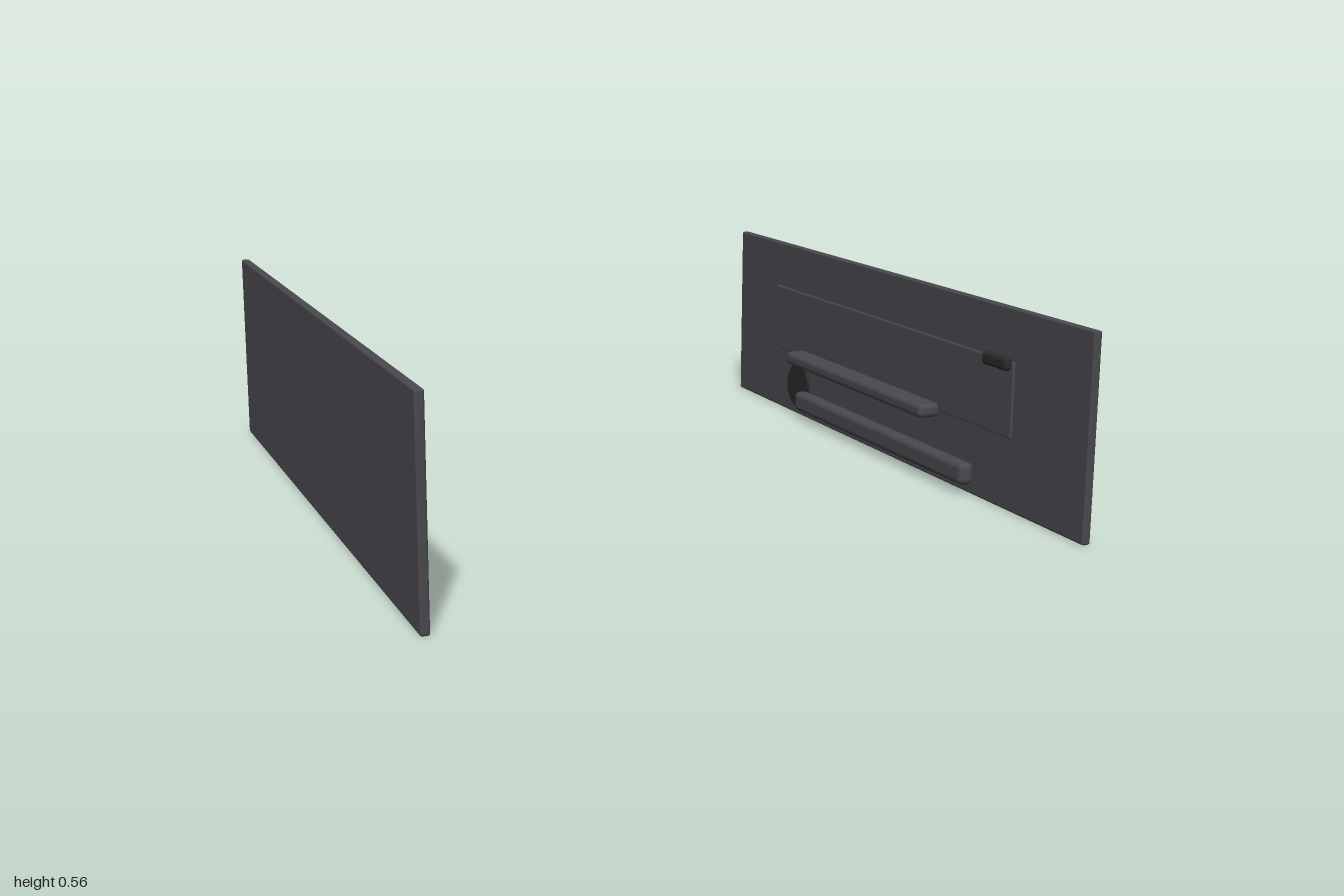
import * as THREE from 'three';
import { RoundedBoxGeometry } from 'three/addons/geometries/RoundedBoxGeometry.js';

// A mirrored pair of door cards with trim, armrest, pocket, speaker and handle.
export function createModel() {
  const model = new THREE.Group();
  model.name = 'doorPanels';

  const panelGrey = new THREE.MeshStandardMaterial({ color: 0x4a494e });
  panelGrey.name = 'panel grey';
  const darkGrey = new THREE.MeshStandardMaterial({ color: 0x2a2a2b });
  darkGrey.name = 'dark plastic';

  // Rounded block given by its ranges: x measured outwards, mirrored by side
  function block(parent, name, side, [x0, x1], [y0, y1], [z0, z1], radius, material) {
    const geometry = new RoundedBoxGeometry(x1 - x0, y1 - y0, z1 - z0, 2, radius);
    const mesh = new THREE.Mesh(geometry, material);
    mesh.name = name;
    mesh.position.set(side * (x0 + x1) / 2, (y0 + y1) / 2, (z0 + z1) / 2);
    parent.add(mesh);
  }

  for (const side of [1, -1]) {
    const door = new THREE.Group();
    door.name = side > 0 ? 'leftDoor' : 'rightDoor';

    block(door, 'panel', side, [0.858, 0.882], [0, 0.556], [-1, 1], 0.006, panelGrey);
    block(door, 'trimInsert', side, [0.851, 0.864], [0.203, 0.412], [-0.72, 0.67], 0.004, panelGrey);
    block(door, 'armrest', side, [0.786, 0.858], [0.184, 0.226], [-0.52, 0.315], 0.016, panelGrey);
    block(door, 'handle', side, [0.834, 0.858], [0.387, 0.424], [0.54, 0.66], 0.011, darkGrey);

    // Map pocket: a long bar with chamfered edges
    block(door, 'pocket', side, [0.815, 0.862], [0.028, 0.092], [-0.51, 0.495], 0.018, panelGrey);

    // Round speaker grille
    const speaker = new THREE.Mesh(new THREE.CylinderGeometry(0.073, 0.073, 0.016, 32), darkGrey);
    speaker.name = 'speaker';
    speaker.rotation.z = Math.PI / 2;
    speaker.position.set(side * 0.858, 0.098, -0.55);
    door.add(speaker);

    model.add(door);
  }
  return model;
}
